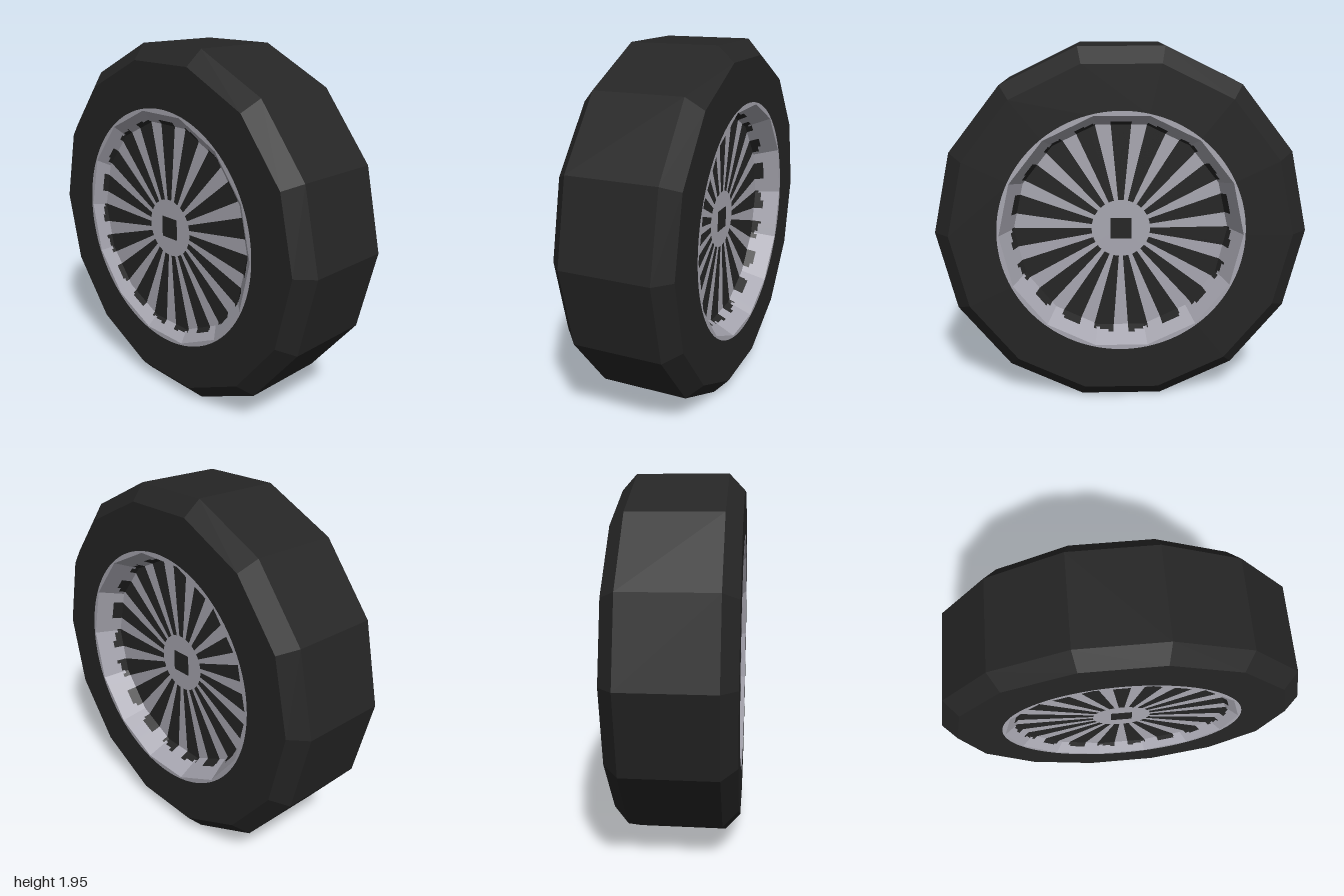
import * as THREE from 'three';

const SIDES = 14;            // corners of the tyre outline
const SPOKES = 19;
const CELLS = 28;            // angular cells per spoke period
const WINDOW_CELLS = 16;     // of which this many are the dark gap
const RIM_R = 0.65, DISC_R = 0.585, HUB_R = 0.16, WINDOW_R = 0.595, HALF_W = 0.32;

// radius of the 14-sided outline at angle a (measured from the top)
function polyRadius(R, a) {
  const s = (2 * Math.PI) / SIDES;
  return (R * Math.cos(s / 2)) / Math.cos(a - Math.round(a / s) * s);
}

// Recessed spoke disc, tapered rim wall and a thin round lip, facing +x
function wheelFaceGeometry(discX) {
  const rings = [
    () => [0, discX],
    () => [HUB_R, discX],
    a => [polyRadius(DISC_R, a), discX],
  ];
  const steps = 8;
  for (let k = 1; k <= steps; k++) {
    const t = k / steps;
    rings.push(a => [
      polyRadius(THREE.MathUtils.lerp(DISC_R, RIM_R, t), a),
      THREE.MathUtils.lerp(discX, HALF_W + 0.002, t),
    ]);
  }
  rings.push(() => [0.66, HALF_W + 0.002]);

  const n = SPOKES * CELLS;
  const metal = [], dark = [];
  const corner = (ring, i) => {
    const a = (i / n) * Math.PI * 2;
    const [r, x] = ring(a);
    return [x, r * Math.cos(a), r * Math.sin(a)];
  };
  for (let j = 0; j < rings.length - 1; j++) {
    for (let i = 0; i < n; i++) {
      const p = corner(rings[j], i), q = corner(rings[j + 1], i);
      const u = corner(rings[j + 1], i + 1), v = corner(rings[j], i + 1);
      const mid = (Math.hypot(p[1], p[2]) + Math.hypot(q[1], q[2])) / 2;
      const inGap = (i + WINDOW_CELLS / 2) % CELLS < WINDOW_CELLS;
      const list = inGap && mid > HUB_R && mid < WINDOW_R ? dark : metal;
      if (j > 0) list.push(...p, ...q, ...v);
      list.push(...q, ...u, ...v);
    }
  }
  const geo = new THREE.BufferGeometry();
  geo.setAttribute('position', new THREE.Float32BufferAttribute([...metal, ...dark], 3));
  geo.addGroup(0, metal.length / 3, 0);
  geo.addGroup(metal.length / 3, dark.length / 3, 1);
  geo.computeVertexNormals();
  return geo;
}

export function createModel() {
  const rubber = new THREE.MeshStandardMaterial({ color: 0x252525 });
  rubber.name = 'black rubber';
  const alloy = new THREE.MeshStandardMaterial({ color: 0xa8a7b1 });
  alloy.name = 'grey alloy';

  const wheel = new THREE.Group();
  wheel.name = 'wheel';

  // Tyre: chamfered tread and flat sidewalls
  const profile = [
    [RIM_R, -HALF_W], [0.915, -HALF_W], [1, -0.24],
    [1, 0.24], [0.915, HALF_W], [RIM_R, HALF_W],
  ].map(([r, x]) => new THREE.Vector2(r, x));
  const tyreGeo = new THREE.LatheGeometry(profile, SIDES).toNonIndexed();
  tyreGeo.rotateZ(-Math.PI / 2);
  tyreGeo.computeVertexNormals();
  const tyre = new THREE.Mesh(tyreGeo, rubber);
  tyre.name = 'tyre';
  wheel.add(tyre);

  // Wheel faces: deep dish on the left, shallow on the right
  const addFace = (name, discX, turn) => {
    const face = new THREE.Group();
    face.name = name;
    const rim = new THREE.Mesh(wheelFaceGeometry(discX), [alloy, rubber]);
    rim.name = 'spokedRim';
    const hub = new THREE.Mesh(new THREE.BoxGeometry(0.006, 0.116, 0.116), rubber);
    hub.name = 'hubHole';
    hub.position.x = discX;
    face.add(rim, hub);
    face.rotation.y = turn;
    wheel.add(face);
  };
  addFace('leftFace', 0.185, 0);
  addFace('rightFace', 0.27, Math.PI);

  wheel.position.y = Math.cos(Math.PI / SIDES);
  const model = new THREE.Group();
  model.name = 'model';
  model.add(wheel);
  return model;
}
